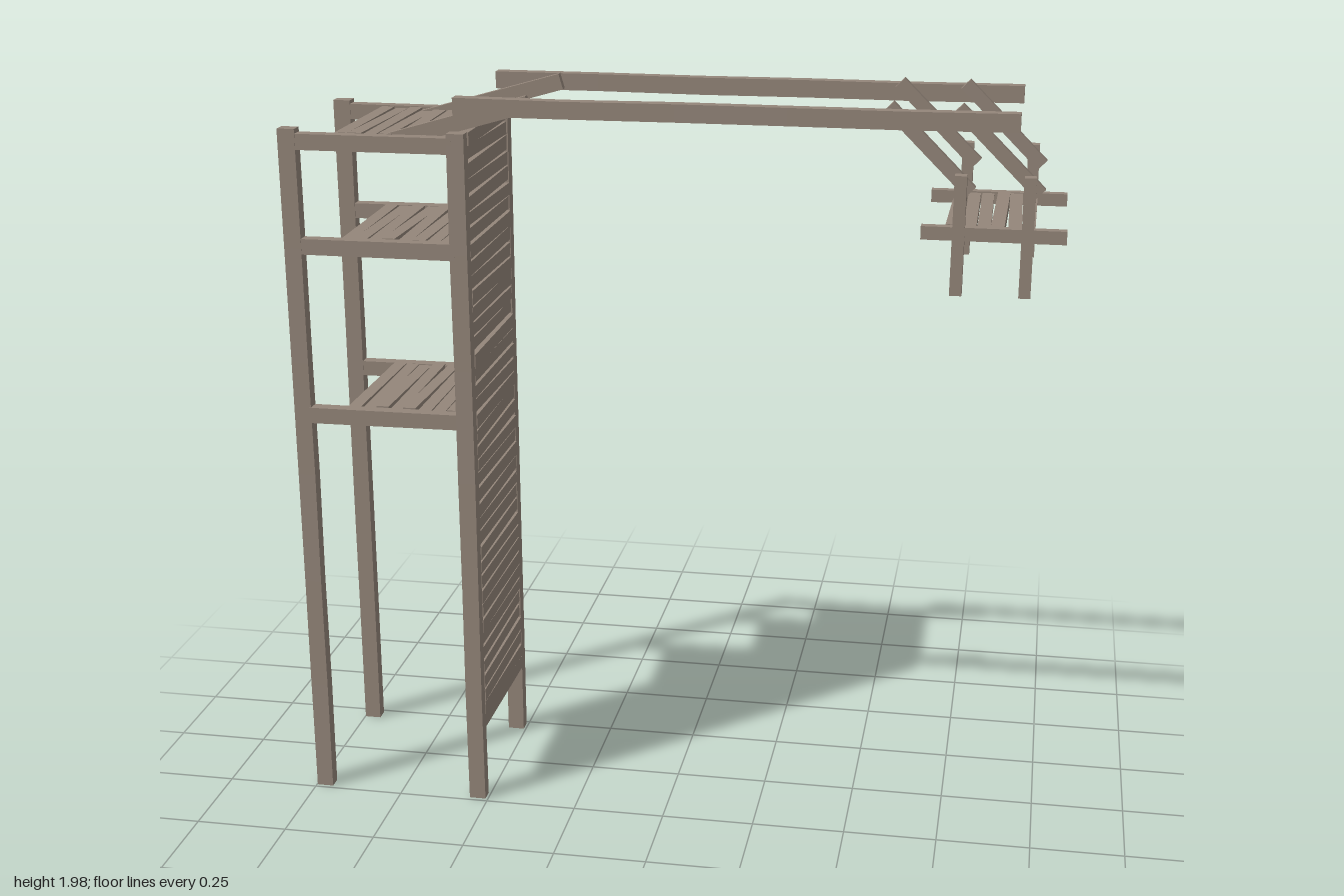
import * as THREE from 'three';

export function createModel() {
  const model = new THREE.Group();
  const wood = new THREE.MeshStandardMaterial({ color: 0x94867a, flatShading: true });

  let seed = 7;
  const jitter = (amount) => {
    seed = (seed * 16807) % 2147483647;
    return (seed / 2147483647 - 0.5) * 2 * amount;
  };

  // Rough-hewn beam from a to b: each ring of corners is slightly shifted and scaled
  function beam(name, a, b, width, depth, rough = 0.002, parent = model) {
    const from = new THREE.Vector3(...a), to = new THREE.Vector3(...b);
    const length = from.distanceTo(to);
    const segments = Math.max(1, Math.round(length / 0.3));
    const geometry = new THREE.BoxGeometry(width, length, depth, 1, segments, 1);
    const rings = Array.from({ length: segments + 1 }, () =>
      [jitter(rough), jitter(rough), 1 + jitter(rough * 20)]);
    const p = geometry.attributes.position;
    for (let i = 0; i < p.count; i++) {
      const [dx, dz, s] = rings[Math.round((p.getY(i) / length + 0.5) * segments)];
      p.setX(i, p.getX(i) * s + dx);
      p.setZ(i, p.getZ(i) * s + dz);
    }
    geometry.computeVertexNormals();
    const mesh = new THREE.Mesh(geometry, wood);
    mesh.name = name;
    mesh.position.copy(from).add(to).multiplyScalar(0.5);
    mesh.quaternion.setFromUnitVectors(new THREE.Vector3(0, 1, 0), to.sub(from).normalize());
    parent.add(mesh);
  }

  // Floor of planks laid across between the two sides
  function deck(name, x0, x1, y, count) {
    const group = new THREE.Group();
    group.name = name;
    const pitch = (x1 - x0) / count;
    for (let i = 0; i < count; i++) {
      const x = x0 + pitch * (i + 0.5);
      const skew = jitter(0.003), lift = jitter(0.003);
      beam('deckPlank', [x - skew, y + lift, -0.205], [x + skew, y - lift, 0.205],
        pitch * 0.88, 0.03, 0.002, group);
    }
    model.add(group);
  }

  for (const side of [-1, 1]) {
    const z = 0.22 * side;
    const inner = 0.184 * side;

    // Tower posts and rails
    for (const x of [-0.975, -0.53]) {
      beam('towerPost', [x, 0, z], [x, 1.872, z], 0.046, 0.036, 0.001);
    }
    for (const y of [1.84, 1.565, 1.105]) {
      beam('towerRail', [-0.965, y, z], [-0.54, y, z], 0.042, 0.034, 0.0015);
    }

    // Long overhead arm with its sloping brace on the tower
    beam('overheadArm', [-0.535, 1.94, 0.215 * side], [0.875, 1.94, 0.215 * side], 0.045, 0.034, 0.0015);
    beam('armBrace', [-0.73, 1.835, inner], [-0.35, 1.945, inner], 0.042, 0.022, 0.001);

    // Hanging platform frame
    for (const x of [0.737, 0.906]) {
      beam('hangerPost', [x, 1.51, z], [x, 1.81, z], 0.03, 0.03, 0.001);
      beam('hangerBrace', [x - 0.182, 1.967, inner], [x + 0.024, 1.762, inner], 0.034, 0.022, 0.001);
    }
    beam('hangerRail', [0.645, 1.665, z], [1, 1.665, z], 0.033, 0.026, 0.001);
  }

  // Tower floors and hanging floor
  deck('topDeck', -0.86, -0.55, 1.843, 8);
  deck('middleDeck', -0.86, -0.55, 1.57, 8);
  deck('lowerDeck', -0.86, -0.55, 1.112, 8);
  deck('hangingDeck', 0.705, 0.925, 1.665, 6);

  // Plank wall on the arm side of the tower
  const wall = new THREE.Group();
  wall.name = 'plankWall';
  const planks = 40;
  for (let i = 0; i < planks; i++) {
    const y = 0.221 + (i * 1.634) / (planks - 1);
    const tilt = jitter(0.003), x = -0.522 + jitter(0.002);
    beam('wallPlank', [x, y - tilt, -0.2], [x, y + tilt, 0.205],
      0.03, 0.036 + jitter(0.003), 0.002, wall);
  }
  model.add(wall);

  // Beams running along z keep their width along x and their depth upright
  return model;
}
